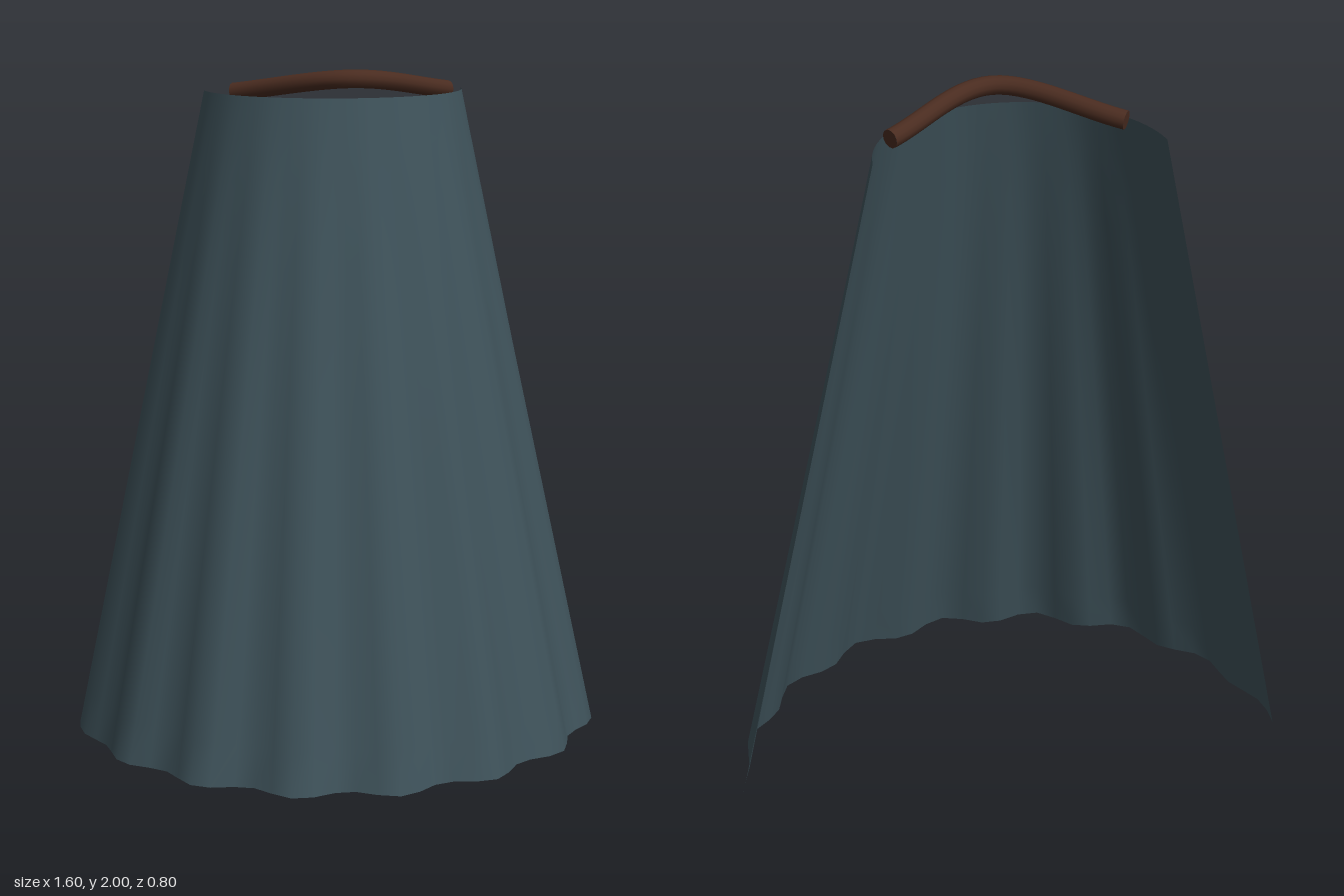
import * as THREE from 'three';

const HEIGHT = 1.92, CENTER_Z = -0.428;
const TOP_R = 0.386, HEM_R = 0.802, HALF_ARC = 1.5;
const FOLD = 0.029, FOLD_RATE = 17.1, FOLD_PHASE = 0.08;

export function createModel() {
  const cloth = new THREE.MeshStandardMaterial({ color: 0x3f535b, side: THREE.DoubleSide });
  cloth.name = 'slate cloth';
  const leather = new THREE.MeshStandardMaterial({ color: 0x4a2c20 });
  leather.name = 'brown leather';

  const group = new THREE.Group();
  group.name = 'cape';

  // Open half cone of cloth whose folds deepen towards the hem and fade at the sides
  const geo = new THREE.PlaneGeometry(1, 1, 40, 16);
  const pos = geo.attributes.position;
  for (let i = 0; i < pos.count; i++) {
    const a = pos.getX(i) * 2 * HALF_ARC;
    const drop = 0.5 - pos.getY(i);
    const fold = FOLD * Math.pow(Math.cos(a), 0.6) * Math.cos(FOLD_RATE * (a - FOLD_PHASE));
    const r = TOP_R + (HEM_R - TOP_R + fold) * drop;
    pos.setXYZ(i, r * Math.sin(a), HEIGHT * (1 - drop), CENTER_Z + r * Math.cos(a));
  }
  geo.computeVertexNormals();
  const drape = new THREE.Mesh(geo, cloth);
  drape.name = 'drape';
  group.add(drape);

  // Bent cord across the neck, with flat closed ends
  const radius = 0.026;
  const path = new THREE.CatmullRomCurve3([
    new THREE.Vector3(-0.315, 1.926, -0.258),
    new THREE.Vector3(0, 1.974, -0.05),
    new THREE.Vector3(0.315, 1.926, -0.258),
  ]);
  const collar = new THREE.Group();
  collar.name = 'collarCord';
  const cord = new THREE.Mesh(new THREE.TubeGeometry(path, 32, radius, 12), leather);
  cord.name = 'cord';
  collar.add(cord);
  for (const t of [0, 1]) {
    const cap = new THREE.Mesh(new THREE.CircleGeometry(radius, 12), leather);
    const out = path.getTangentAt(t).multiplyScalar(t ? 1 : -1);
    cap.position.copy(path.getPointAt(t));
    cap.quaternion.setFromUnitVectors(new THREE.Vector3(0, 0, 1), out);
    cap.name = t ? 'leftCordEnd' : 'rightCordEnd';
    collar.add(cap);
  }
  group.add(collar);

  return group;
}
